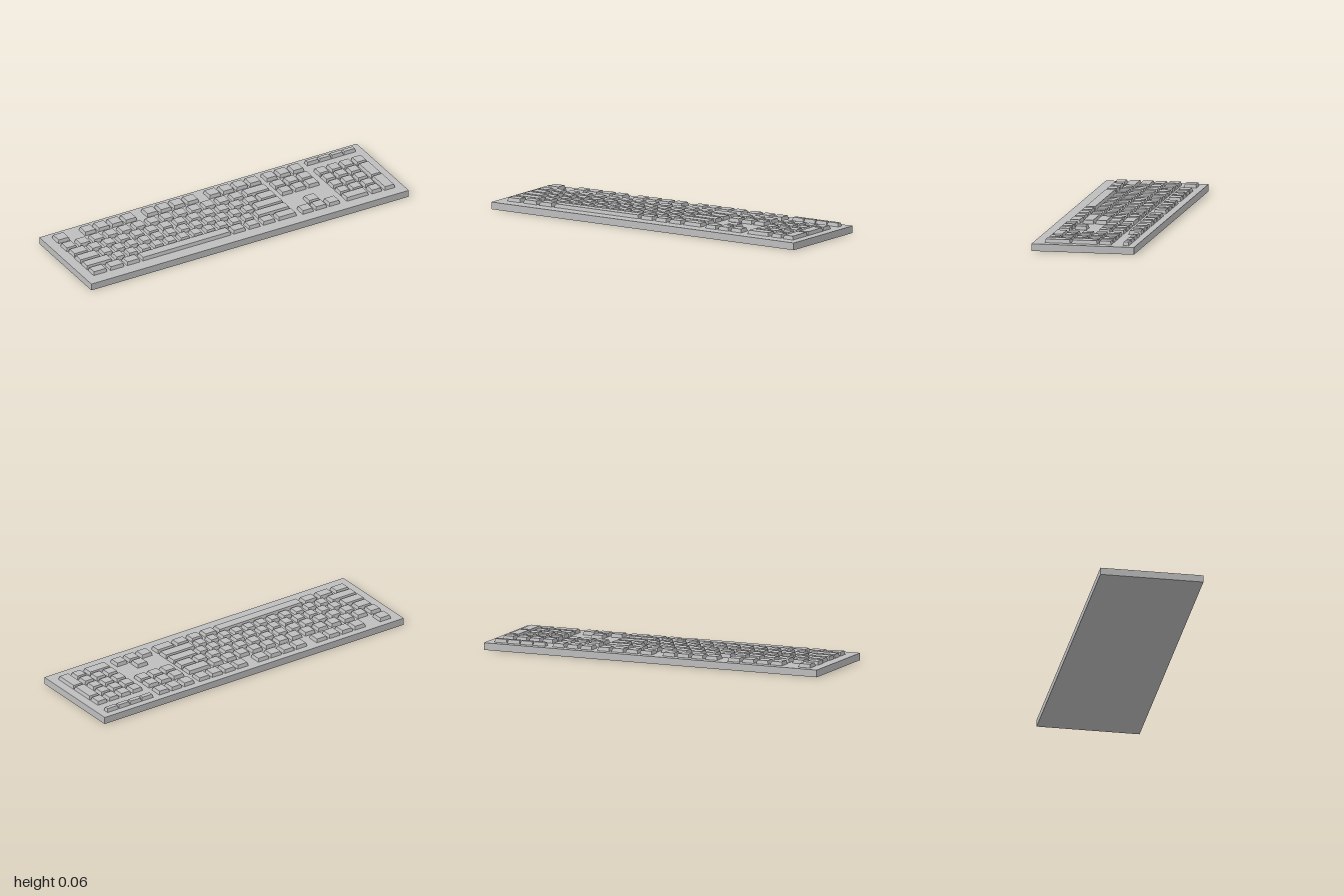
import * as THREE from 'three';

const BASE_TOP = 0.04, KEY_TOP = 0.06, TAPER = 0.005;

export function createModel() {
  const model = new THREE.Group();
  model.name = 'keyboard';
  const grey = new THREE.MeshStandardMaterial({ color: 0xbebebe });
  grey.name = 'grey plastic';

  // flat rectangular case
  const base = new THREE.Mesh(new THREE.BoxGeometry(2, BASE_TOP, 0.572), grey);
  base.name = 'case';
  base.position.y = BASE_TOP / 2;
  model.add(base);

  const section = (name) => {
    const g = new THREE.Group();
    g.name = name;
    model.add(g);
    return g;
  };

  // one tapered keycap between x0..x1 and z0..z1
  const key = (parent, name, [x0, x1], [z0, z1]) => {
    const w = x1 - x0, d = z1 - z0, h = KEY_TOP - BASE_TOP;
    const geo = new THREE.BoxGeometry(w, h, d);
    const p = geo.attributes.position;
    for (let i = 0; i < p.count; i++) {
      if (p.getY(i) < 0) continue;
      p.setX(i, p.getX(i) - Math.sign(p.getX(i)) * TAPER);
      p.setZ(i, p.getZ(i) - Math.sign(p.getZ(i)) * TAPER);
    }
    geo.computeVertexNormals();
    const mesh = new THREE.Mesh(geo, grey);
    mesh.name = name;
    mesh.position.set((x0 + x1) / 2, BASE_TOP + h / 2, (z0 + z1) / 2);
    parent.add(mesh);
  };
  // evenly spaced run of equal keys
  const run = (parent, name, start, pitch, width, count, z) => {
    for (let i = 0; i < count; i++) {
      const x = start + i * pitch;
      key(parent, name, [x, x + width], z);
    }
  };

  const Z = {
    func: [-0.246, -0.175],
    num: [-0.148, -0.08],
    upper: [-0.071, -0.005],
    home: [0.003, 0.068],
    lower: [0.077, 0.14],
    bottom: [0.152, 0.214],
  };

  // function row
  const func = section('functionRow');
  key(func, 'escapeKey', [-0.943, -0.871], Z.func);
  for (const x of [-0.774, -0.383, 0.01]) run(func, 'functionKey', x, 0.085, 0.072, 4, Z.func);

  // main typing block
  const main = section('mainBlock');
  run(main, 'numberKey', -0.946, 0.0877, 0.067, 13, Z.num);
  key(main, 'backspaceKey', [0.193, 0.335], Z.num);
  key(main, 'tabKey', [-0.94, -0.849], Z.upper);
  run(main, 'letterKey', -0.827, 0.0893, 0.065, 12, Z.upper);
  key(main, 'upperRowEndKey', [0.236, 0.335], Z.upper);
  key(main, 'capsKey', [-0.944, -0.817], Z.home);
  run(main, 'letterKey', -0.795, 0.0813, 0.058, 12, Z.home);
  key(main, 'enterKey', [0.173, 0.335], Z.home);
  key(main, 'leftShiftKey', [-0.944, -0.782], Z.lower);
  run(main, 'letterKey', -0.758, 0.0813, 0.058, 11, Z.lower);
  key(main, 'rightShiftKey', [0.136, 0.335], Z.lower);
  key(main, 'spaceBar', [-0.634, -0.077], Z.bottom);
  for (const x of [
    [-0.944, -0.859], [-0.838, -0.751], [-0.733, -0.651],
    [-0.062, 0.015], [0.035, 0.106], [0.126, 0.202], [0.222, 0.335],
  ]) key(main, 'modifierKey', x, Z.bottom);

  // navigation cluster and arrows
  const nav = section('navigationCluster');
  for (const z of [Z.func, Z.num, Z.upper]) run(nav, 'navigationKey', 0.37, 0.0835, 0.069, 3, z);
  key(nav, 'upArrowKey', [0.4535, 0.5225], [0.077, 0.144]);
  run(nav, 'arrowKey', 0.37, 0.0835, 0.069, 3, [0.154, 0.22]);

  // number pad with its row of slim keys
  const pad = section('numberPad');
  run(pad, 'slimKey', 0.648, 0.077, 0.075, 4, [-0.248, -0.214]);
  run(pad, 'padKey', 0.649, 0.0785, 0.064, 4, Z.num);
  for (const z of [[-0.071, -0.007], [0.005, 0.069], [0.084, 0.148]])
    run(pad, 'padKey', 0.649, 0.0785, 0.064, 3, z);
  key(pad, 'padZeroKey', [0.649, 0.786], [0.155, 0.219]);
  key(pad, 'padPointKey', [0.806, 0.87], [0.155, 0.219]);
  key(pad, 'padPlusKey', [0.885, 0.951], [-0.071, 0.074]);
  key(pad, 'padEnterKey', [0.885, 0.951], [0.08, 0.222]);

  return model;
}
